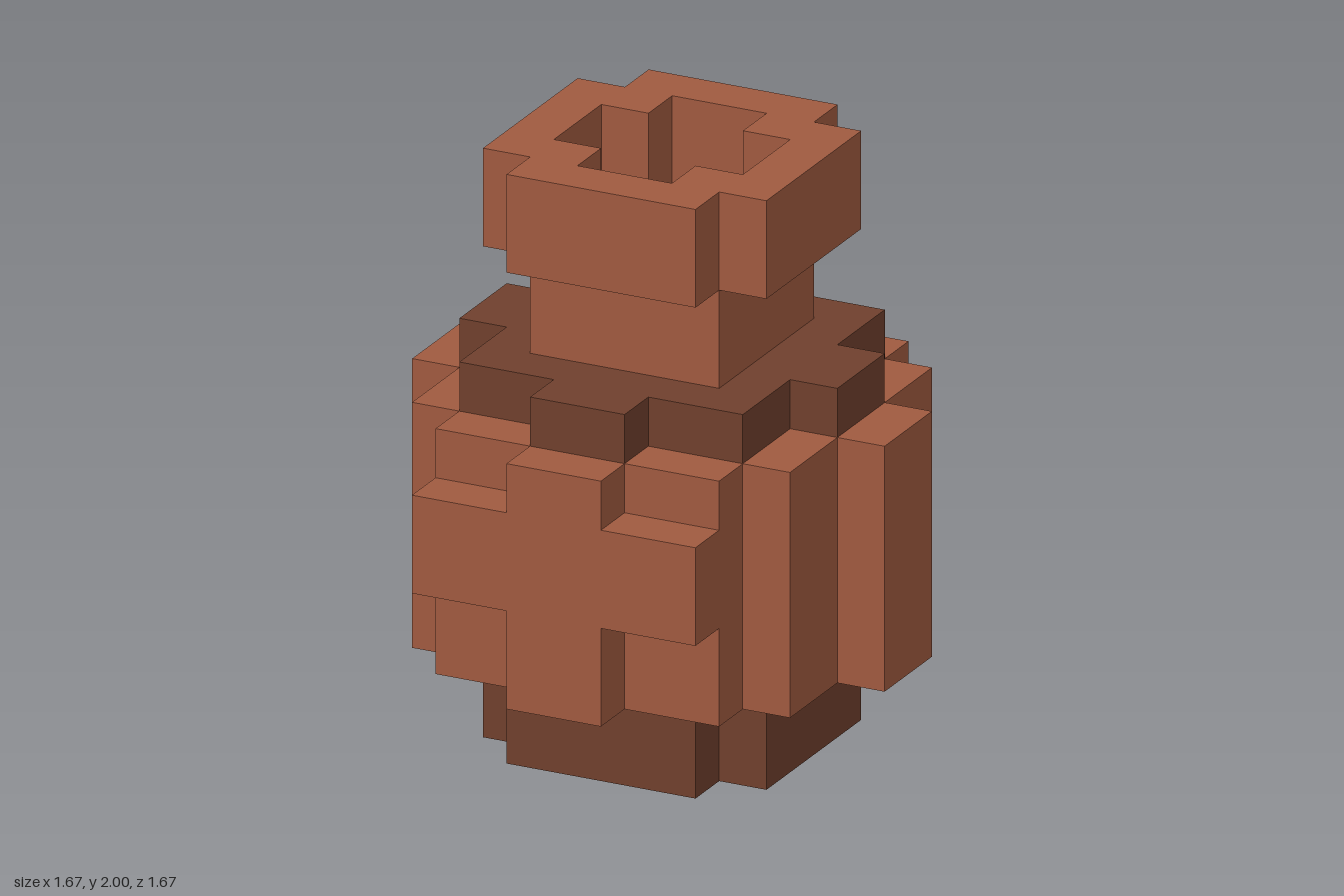
import * as THREE from 'three';

const U = 1 / 6; // size of one block

const clay = new THREE.MeshStandardMaterial({ color: 0xa05a40 });
clay.name = 'clay';
const darkClay = new THREE.MeshStandardMaterial({ color: 0x70402d });
darkClay.name = 'dark clay';

// Repeats one corner of a stepped outline four times around the centre
function outline(corner) {
  const points = [];
  for (let turn = 0; turn < 4; turn++) {
    for (const [a, b] of corner) {
      let x = a, y = b;
      for (let i = 0; i < turn; i++) [x, y] = [-y, x];
      points.push(new THREE.Vector2(x * U, y * U));
    }
  }
  return points;
}

// Upright layer from a stepped outline, between two block heights
function layer(name, material, corner, bottom, top, holeCorner) {
  const shape = new THREE.Shape(outline(corner));
  if (holeCorner) shape.holes.push(new THREE.Path(outline(holeCorner)));
  const geometry = new THREE.ExtrudeGeometry(shape, { depth: (top - bottom) * U, bevelEnabled: false });
  geometry.rotateX(-Math.PI / 2);
  geometry.translate(0, bottom * U, 0);
  const mesh = new THREE.Mesh(geometry, material);
  mesh.name = name;
  return mesh;
}

export function createModel() {
  const jar = new THREE.Group();
  jar.name = 'jar';

  const notched = [[3, 2], [2, 2], [2, 3]];
  const ribbed = [[5, 1], [4, 1], [4, 3], [3, 3], [3, 4], [1, 4], [1, 5]];
  const shoulder = [[4, 1], [3, 1], [3, 3], [1, 3], [1, 4]];
  const opening = [[2, 1], [1, 1], [1, 2]];

  jar.add(
    layer('base', darkClay, notched, 0, 2),
    layer('body', clay, ribbed, 2, 7),
    layer('shoulder', darkClay, shoulder, 7, 8),
    layer('neck', clay, [[2, 2]], 8, 10),
    layer('rim', clay, notched, 10, 12, opening)
  );

  // Arms that turn the front rib into a raised cross
  for (const side of [1, -1]) {
    const arm = new THREE.Mesh(new THREE.BoxGeometry(2 * U, 2 * U, U), clay);
    arm.name = side > 0 ? 'leftCrossArm' : 'rightCrossArm';
    arm.position.set(side * 2 * U, 5 * U, 4.5 * U);
    jar.add(arm);
  }

  return jar;
}
